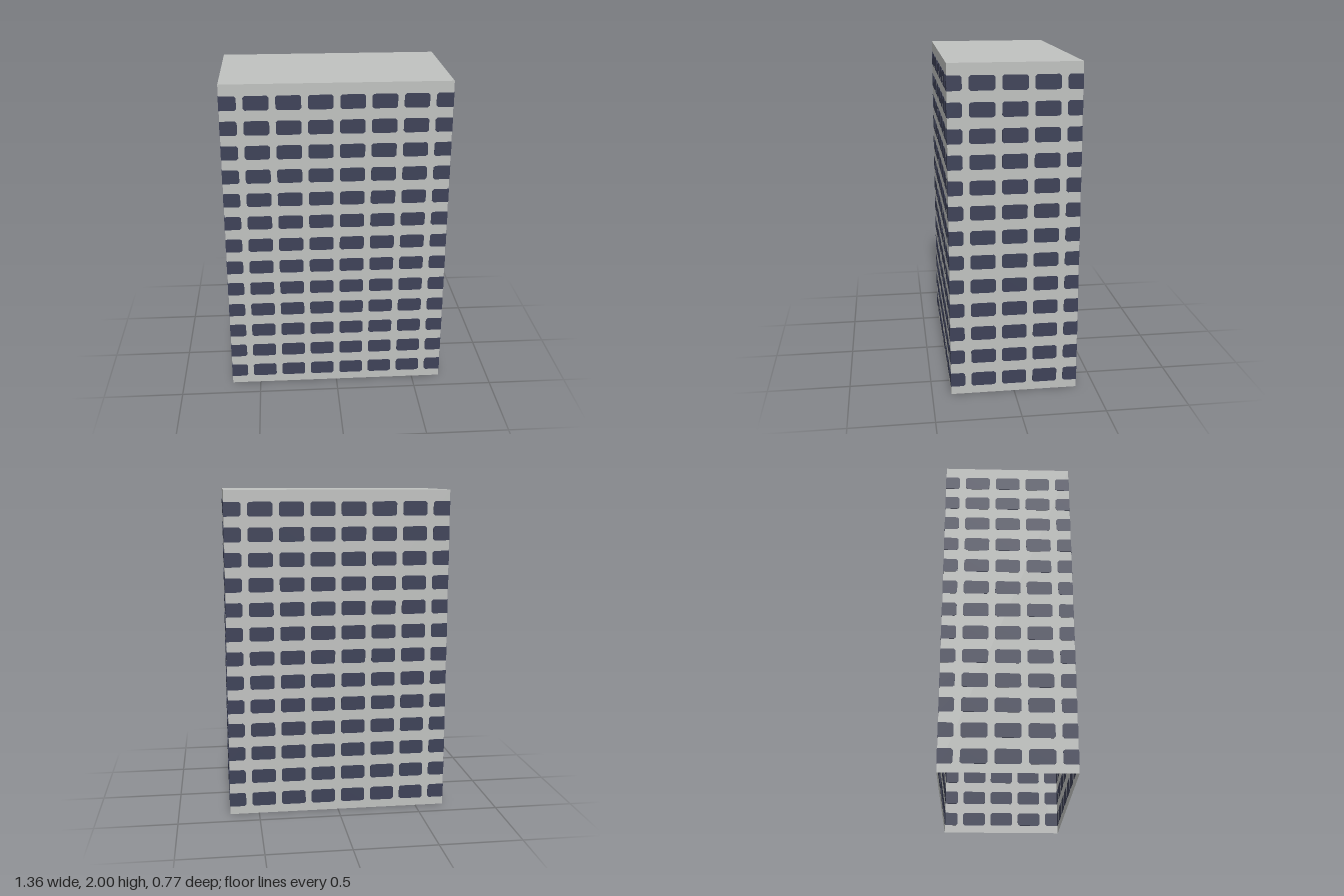
import * as THREE from 'three';

const W = 1.36, H = 2, D = 0.77;              // building size
const PITCH_X = 0.187, PITCH_Y = 0.1496;      // window spacing
const WIN_W = 0.149, WIN_H = 0.086, CUT = 0.011;
const ROWS = 13, FIRST_ROW = 0.093, PLATE = 0.004;

// Window pane with clipped corners, cut off square where it meets the wall's end
function paneShape(cx, cy, half) {
  const l = Math.max(cx - WIN_W / 2, -half), r = Math.min(cx + WIN_W / 2, half);
  const b = cy - WIN_H / 2, t = cy + WIN_H / 2;
  const cl = l === -half ? 0 : CUT, cr = r === half ? 0 : CUT;
  const pts = [];
  const corner = (x, y, sx, sy, c, flip) => {
    if (!c) { pts.push(new THREE.Vector2(x, y)); return; }
    const pair = [new THREE.Vector2(x, y + sy * c), new THREE.Vector2(x + sx * c, y)];
    pts.push(...(flip ? pair.reverse() : pair));
  };
  corner(l, b, 1, 1, cl, false);
  corner(r, b, -1, 1, cr, true);
  corner(r, t, -1, -1, cr, false);
  corner(l, t, 1, -1, cl, true);
  return new THREE.Shape(pts);
}

// One facade: a thin wall with panes that show on both of its sides
function makeFacade(name, width, columns, wallMat, glassMat) {
  const facade = new THREE.Group();
  facade.name = name;

  const wall = new THREE.Mesh(new THREE.PlaneGeometry(width, H).translate(0, H / 2, 0), wallMat);
  wall.name = 'wall';

  const shapes = [];
  for (let row = 0; row < ROWS; row++) {
    for (let col = 0; col < columns; col++) {
      shapes.push(paneShape((col - (columns - 1) / 2) * PITCH_X, FIRST_ROW + row * PITCH_Y, width / 2));
    }
  }
  const geo = new THREE.ExtrudeGeometry(shapes, { depth: PLATE, bevelEnabled: false });
  const windows = new THREE.Mesh(geo.translate(0, 0, -PLATE / 2), glassMat);
  windows.name = 'windows';

  facade.add(wall, windows);
  return facade;
}

export function createModel() {
  const concrete = new THREE.MeshStandardMaterial({ color: 0xc0c2c0 });
  concrete.name = 'concrete';
  concrete.side = THREE.DoubleSide;
  const glass = new THREE.MeshStandardMaterial({ color: 0x3e4258 });
  glass.name = 'window glass';

  const building = new THREE.Group();
  building.name = 'apartmentBlock';

  // Four facades around an open-bottomed shell
  const sides = [
    ['frontFacade', W, 8, D / 2],
    ['leftFacade', D, 5, W / 2],
    ['backFacade', W, 8, D / 2],
    ['rightFacade', D, 5, W / 2],
  ];
  sides.forEach(([name, width, columns, distance], i) => {
    const facade = makeFacade(name, width, columns, concrete, glass);
    const angle = i * Math.PI / 2;
    facade.rotation.y = angle;
    facade.position.set(Math.sin(angle) * distance, 0, Math.cos(angle) * distance);
    building.add(facade);
  });

  // Flat roof
  const roof = new THREE.Mesh(new THREE.PlaneGeometry(W, D).rotateX(-Math.PI / 2), concrete);
  roof.name = 'roof';
  roof.position.y = H;
  building.add(roof);

  return building;
}
